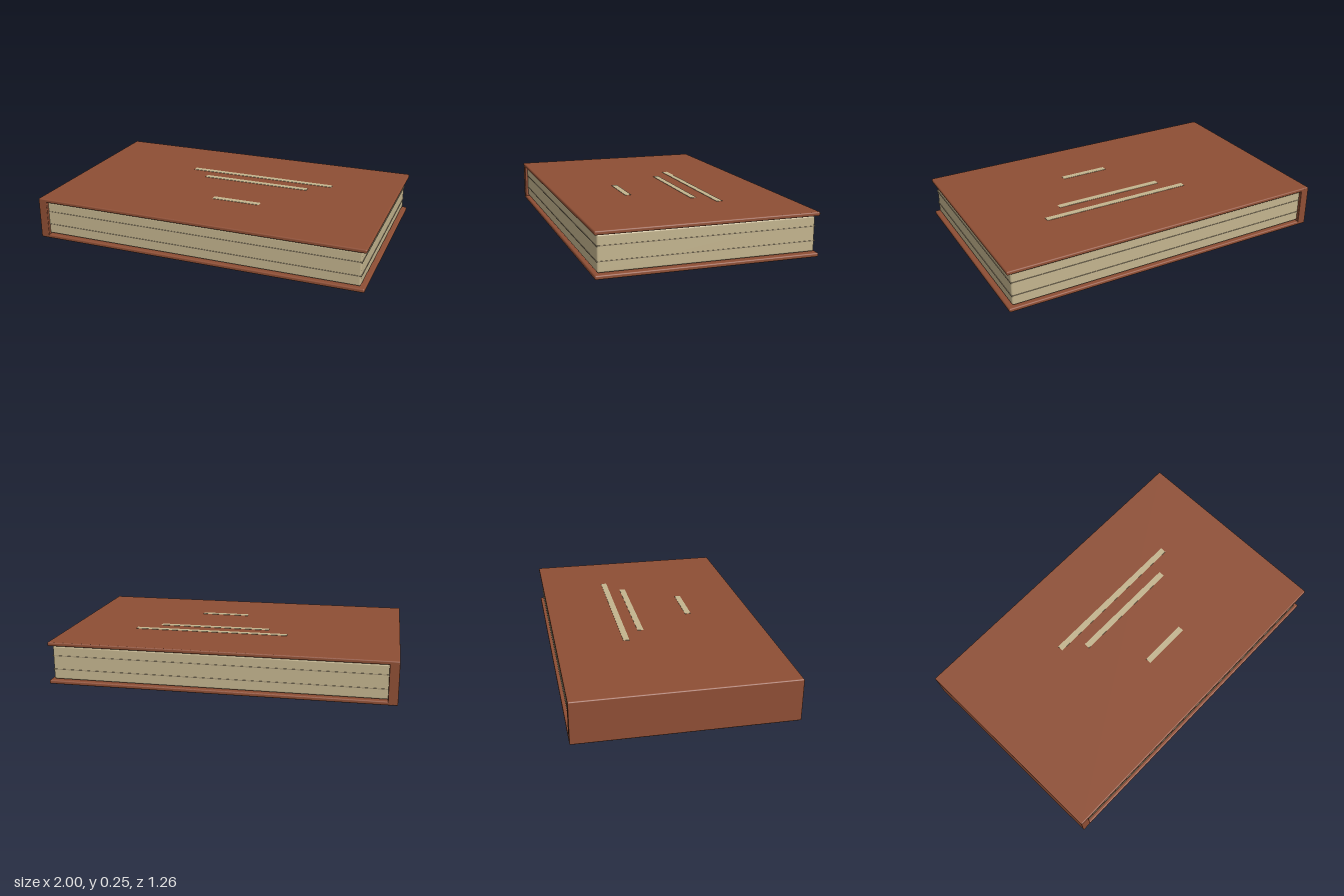
import * as THREE from 'three';
import { RoundedBoxGeometry } from 'three/addons/geometries/RoundedBoxGeometry.js';

export function createModel() {
  const book = new THREE.Group();
  book.name = 'book';

  const material = (name, color) => {
    const m = new THREE.MeshStandardMaterial({ color });
    m.name = name;
    return m;
  };
  const leather = material('brown leather', 0x8e4e34);
  const paper = material('cream paper', 0xc3b48e);
  const seam = material('page seam', 0xa6977a);

  // Adds a box spanning the given ranges; a radius rounds its edges
  function box(name, mat, [x0, x1], [y0, y1], [z0, z1], radius = 0) {
    const size = [x1 - x0, y1 - y0, z1 - z0];
    const geometry = radius
      ? new RoundedBoxGeometry(...size, 3, radius)
      : new THREE.BoxGeometry(...size);
    const mesh = new THREE.Mesh(geometry, mat);
    mesh.name = name;
    mesh.position.set((x0 + x1) / 2, (y0 + y1) / 2, (z0 + z1) / 2);
    book.add(mesh);
  }

  // Hard cover: two boards joined by the spine
  const depth = [-0.628, 0.628];
  box('backCover', leather, [-1, 1], [0, 0.023], depth, 0.008);
  box('frontCover', leather, [-1, 1], [0.229, 0.252], depth, 0.008);
  box('spine', leather, [-1, -0.945], [0.002, 0.25], depth, 0.005);

  // Page block, set back from the cover edges
  box('pages', paper, [-0.96, 0.975], [0.027, 0.226], [-0.61, 0.61], 0.01);

  // Thin seams running around the page block
  for (const y of [0.087, 0.168]) {
    box('pageSeam', seam, [-0.95, 0.978], [y - 0.002, y + 0.002], [-0.613, 0.613]);
  }

  // Plain inlaid bars on the front cover: x start, x end, z centre
  for (const [x0, x1, z] of [[-0.34, 0.59, -0.215], [-0.215, 0.46, -0.108], [-0.025, 0.27, 0.23]]) {
    box('coverBar', paper, [x0, x1], [0.25, 0.254], [z - 0.018, z + 0.018]);
  }

  return book;
}
